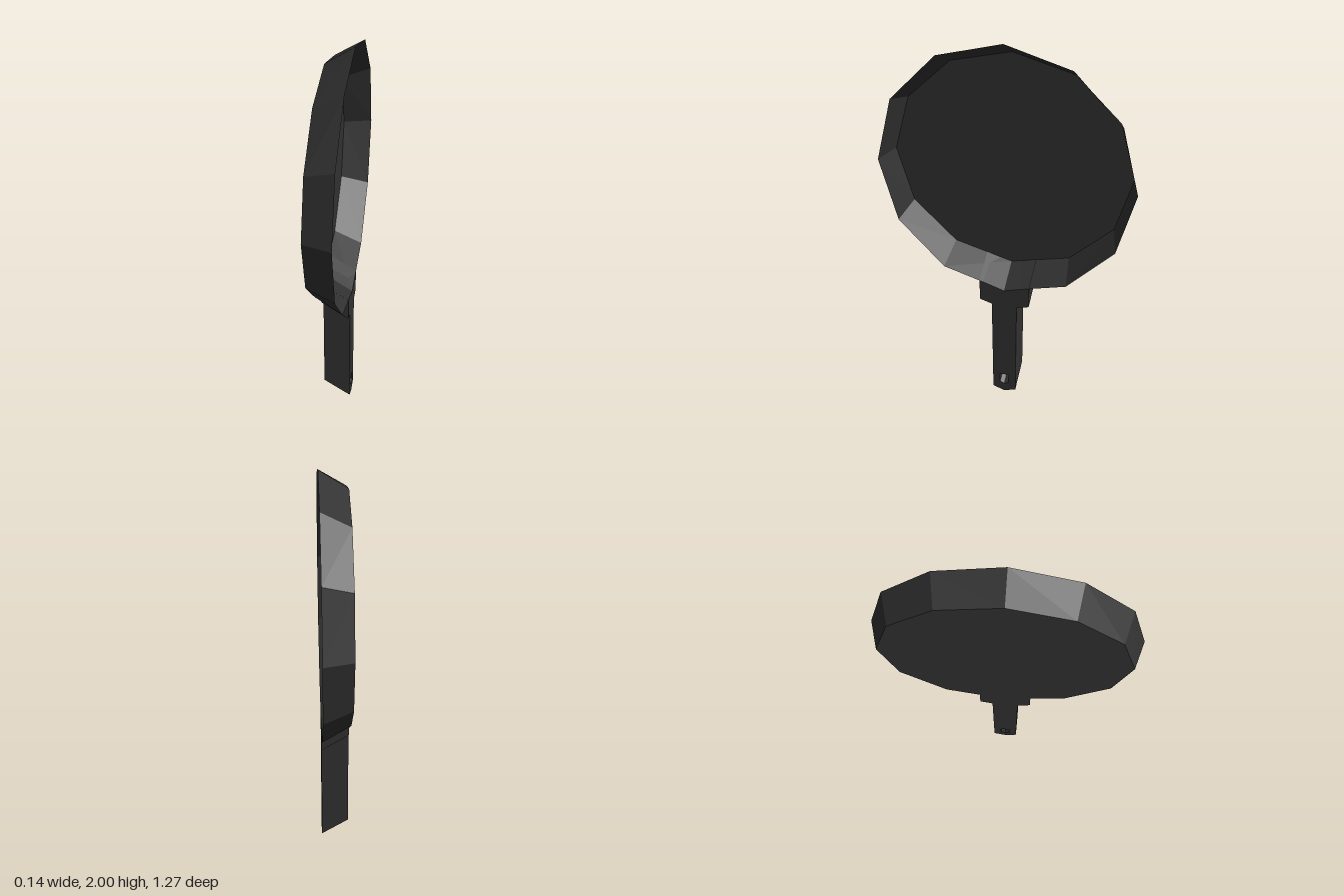
import * as THREE from 'three';

const CENTER_Y = 1.338; // height of the pan's centre
const BACK_X = -0.073, FRONT_X = 0.065;

// Twelve-sided thin dish, open towards +x, wider at the rim than at the base
function makeDish() {
  const profile = [[0, 0], [1, 0], [1, 1]].map(([r, h]) => new THREE.Vector2(r, h));
  const geo = new THREE.LatheGeometry(profile, 12);
  geo.rotateZ(-Math.PI / 2); // axis along +x
  const p = geo.attributes.position;
  for (let i = 0; i < p.count; i++) {
    const t = p.getX(i); // 0 at the base, 1 at the rim
    const y = p.getY(i) * THREE.MathUtils.lerp(0.573, 0.662, t);
    const z = p.getZ(i) * THREE.MathUtils.lerp(0.597, 0.637, t);
    const x = THREE.MathUtils.lerp(-0.072, 0.068, t) + y * 0.004;
    p.setXYZ(i, x, CENTER_Y + y, z);
  }
  geo.computeVertexNormals();
  return geo;
}

// Handle and wider bracket as one outline with a hanging hole, sheared upwards to the back
function makeHandle() {
  const half = [[0.062, 0.02], [0.066, 0.578], [0.13, 0.597], [0.13, 0.713]];
  const mirrored = half.map(([x, y]) => [-x, y]).reverse();
  const outline = [[0, 0], ...half, [0, 0.673], ...mirrored];
  const toPoints = (list) => list.map(([x, y]) => new THREE.Vector2(x, y));
  const shape = new THREE.Shape(toPoints(outline));
  const hole = [[0, 0.05], [-0.023, 0.06], [-0.025, 0.115], [0.025, 0.115], [0.023, 0.06]];
  shape.holes.push(new THREE.Path(toPoints(hole)));

  const geo = new THREE.ExtrudeGeometry(shape, { depth: FRONT_X - BACK_X, bevelEnabled: false });
  geo.rotateY(Math.PI / 2);
  geo.translate(BACK_X, 0, 0);
  const p = geo.attributes.position;
  for (let i = 0; i < p.count; i++) {
    p.setY(i, p.getY(i) + (FRONT_X - p.getX(i)) * 0.64);
  }
  geo.computeVertexNormals();
  return geo;
}

export function createModel() {
  const iron = new THREE.MeshStandardMaterial({ color: 0x323232, flatShading: true, side: THREE.DoubleSide });
  iron.name = 'darkIron';

  const group = new THREE.Group();
  group.name = 'fryingPan';
  const add = (name, geo) => {
    const mesh = new THREE.Mesh(geo, iron);
    mesh.name = name;
    group.add(mesh);
  };
  add('dish', makeDish());
  add('handle', makeHandle());
  return group;
}
